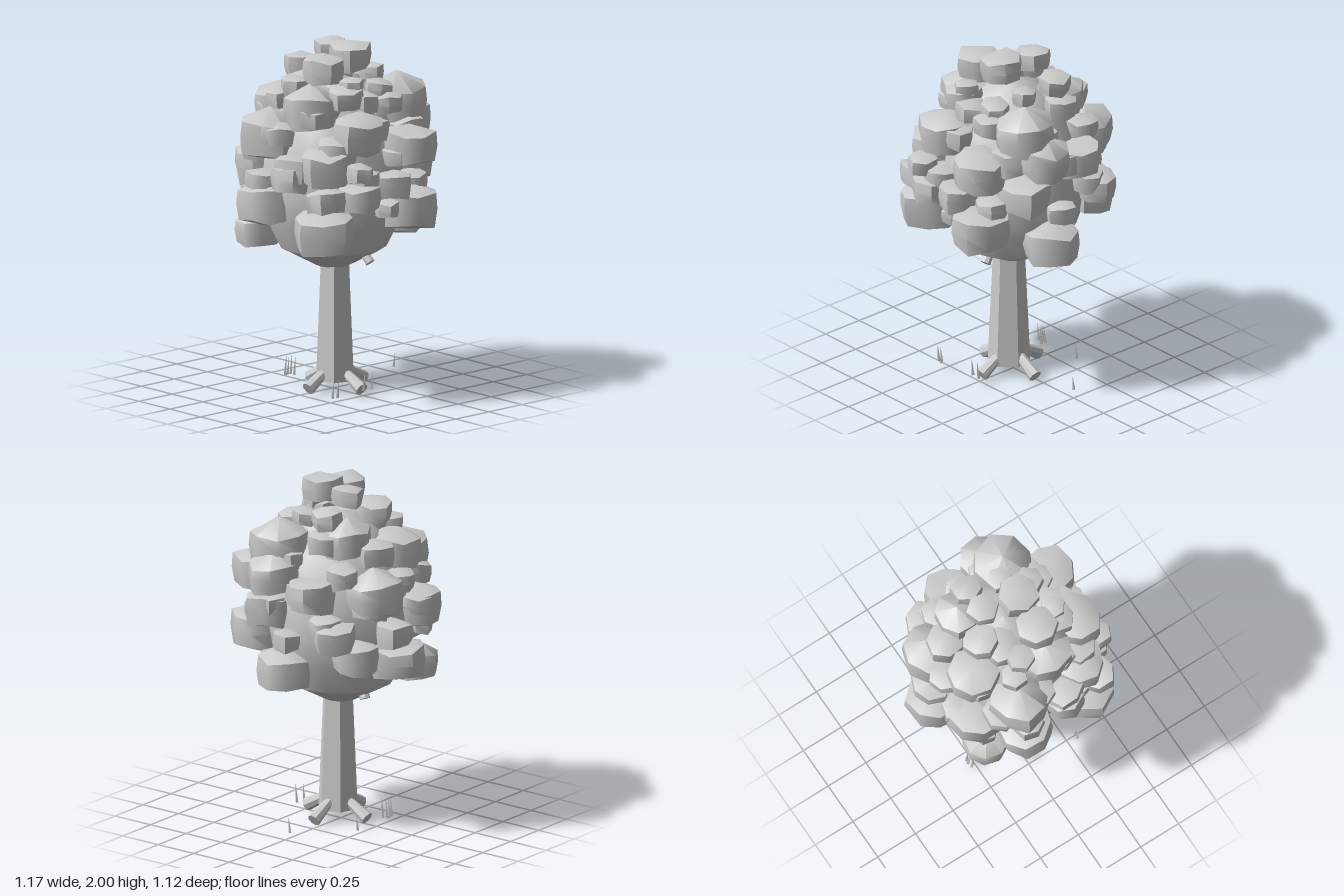
import * as THREE from 'three';
import { toCreasedNormals } from 'three/addons/utils/BufferGeometryUtils.js';

const grey = new THREE.MeshStandardMaterial({ color: 0xcccccc, side: THREE.DoubleSide });

function add(group, geometry, name, crease) {
  const mesh = new THREE.Mesh(toCreasedNormals(geometry.toNonIndexed(), crease), grey);
  mesh.name = name;
  group.add(mesh);
  return mesh;
}

function addGroup(parent, name) {
  const group = new THREE.Group();
  group.name = name;
  parent.add(group);
  return group;
}

// Repeatable wobble in -1..1
const wobble = (a, b) => {
  const s = Math.sin(a * 12.9898 + b * 78.233) * 43758.5453;
  return (s - Math.floor(s)) * 2 - 1;
};

// Tapered rod between two points
function rod(group, from, to, r0, r1, sides, name) {
  const a = new THREE.Vector3(...from), b = new THREE.Vector3(...to);
  const dir = b.clone().sub(a);
  const mesh = add(group, new THREE.CylinderGeometry(r1, r0, dir.length(), sides), name, 0.5);
  mesh.position.copy(a).add(b).multiplyScalar(0.5);
  mesh.quaternion.setFromUnitVectors(new THREE.Vector3(0, 1, 0), dir.normalize());
}

// Squat, uneven drum with a domed top and shallow underside
function leafClump(group, x, y, z, r, seed) {
  const h = r * 1.1;
  const large = r > 0.12;
  const sides = large ? 8 : r > 0.09 ? 7 : 6;
  const dome = large ? 0.78 + 0.2 * wobble(seed, 1) : 0.72;
  const profile = [[0, large ? -0.72 : -0.6], [0.92, -0.52], [1.02, 0], [0.98, 0.44], [0, dome]]
    .map(([px, py]) => new THREE.Vector2(px * r, py * h));
  const geo = new THREE.LatheGeometry(profile, sides);
  const p = geo.attributes.position;
  for (let i = 0; i < p.count; i++) {
    const row = i % profile.length;
    const column = Math.floor(i / profile.length) % sides;
    if (row === 0 || row === profile.length - 1) continue;
    const k = 1 + 0.07 * wobble(seed, column);
    const lift = row === 2 ? 0 : 0.12 * h * wobble(seed + row, column + 9);
    p.setXYZ(i, p.getX(i) * k, p.getY(i) + lift, p.getZ(i) * k);
  }
  const mesh = add(group, geo, 'leafClump', 0.95);
  mesh.position.set(x, y, z);
  mesh.rotation.set(0.07 * wobble(seed, 3), seed * 1.3, 0.07 * wobble(seed, 5));
}

// Main leaf clumps: x, y, z, radius
const mainClumps = [
  // front
  [-0.13, 1.48, 0.36, 0.17], [-0.12, 1.1, 0.4, 0.16], [0.31, 1.0, 0.35, 0.17],
  [-0.33, 1.26, 0.22, 0.165], [-0.31, 0.9, 0.28, 0.13], [0.1, 1.65, 0.25, 0.155],
  [0.37, 1.54, 0.15, 0.15], [0.29, 1.36, 0.32, 0.14], [0.12, 1.28, 0.43, 0.11],
  [0.37, 1.19, 0.38, 0.1], [-0.29, 1.6, 0.13, 0.14], [-0.05, 1.75, 0.24, 0.08],
  // left and right
  [-0.43, 1.03, -0.04, 0.16], [-0.37, 1.42, -0.17, 0.16], [0.42, 1.43, -0.19, 0.15],
  [0.41, 1.08, -0.19, 0.165], [0.42, 1.19, 0.2, 0.12], [0.45, 1.23, -0.04, 0.11],
  [0.47, 1.34, 0.23, 0.08], [0.28, 1.68, 0.03, 0.09],
  // back
  [0.19, 1.63, -0.31, 0.165], [-0.11, 1.42, -0.4, 0.14], [-0.26, 1.2, -0.39, 0.12],
  [0.15, 1.5, -0.42, 0.14], [0.22, 1.28, -0.34, 0.15], [0.08, 0.95, -0.41, 0.15],
  [-0.33, 1.08, -0.28, 0.13],
  // top
  [-0.19, 1.7, -0.18, 0.13], [-0.19, 1.82, 0.06, 0.1], [-0.1, 1.91, -0.07, 0.09],
  [0.11, 1.91, -0.03, 0.114], [0.1, 1.86, 0.17, 0.12], [-0.09, 1.82, -0.24, 0.09],
  [0.1, 1.79, -0.2, 0.07], [0.26, 1.78, 0.1, 0.07], [-0.1, 1.74, 0.12, 0.1], [0.25, 1.73, -0.12, 0.08],
];

export function createModel() {
  const tree = new THREE.Group();
  tree.name = 'tree';

  // Tapered hexagonal trunk
  const trunk = add(tree, new THREE.CylinderGeometry(0.085, 0.118, 0.75, 6), 'trunk', 0.3);
  trunk.position.set(0.025, 0.435, 0.008);
  trunk.rotation.y = Math.PI / 4;

  // Roots spreading from the foot
  const roots = addGroup(tree, 'roots');
  for (let i = 0; i < 4; i++) {
    const a = i * Math.PI / 2, x = Math.cos(a), z = Math.sin(a);
    rod(roots, [0.02 + x * 0.06, 0.12, z * 0.06], [0.025 + x * 0.21, 0.033, z * 0.21], 0.025, 0.038, 8, 'root');
  }

  // Stub branches poking out below the crown
  const branches = addGroup(tree, 'branches');
  for (const s of [-1, 1]) {
    rod(branches, [s * 0.16, 0.86, -0.03], [s * 0.23 + 0.02, 0.75, -0.05], 0.02, 0.03, 8, 'stubBranch');
  }

  // Egg-shaped inner crown
  const outline = [[0, 0.7], [0.1, 0.71], [0.3, 0.82], [0.38, 0.98], [0.41, 1.15], [0.39, 1.36],
    [0.31, 1.58], [0.19, 1.73], [0, 1.8]].map(([x, y]) => new THREE.Vector2(x, y));
  add(tree, new THREE.LatheGeometry(outline, 14), 'innerCrown', 0.6);

  // Large overlapping clumps
  const foliage = addGroup(tree, 'foliage');
  mainClumps.forEach(([x, y, z, r], i) => leafClump(foliage, x, y, z, r, i + 1));

  // Small clumps spiralling up the crown to fill the gaps
  const fillers = 30;
  for (let i = 0; i < fillers; i++) {
    const y = 1.1 + 0.62 * i / (fillers - 1);
    const reach = 0.44 * Math.sqrt(1 - ((y - 1.15) / 0.75) ** 2);
    const angle = i * 2.4;
    leafClump(foliage, Math.cos(angle) * reach, y, Math.sin(angle) * reach, 0.092 + 0.022 * wobble(i, 2), i + 50);
  }

  // Thin grass blades in small tufts: x, z, blade count
  const grass = addGroup(tree, 'grass');
  for (const [x, z, count] of [[-0.27, 0.08, 4], [-0.28, -0.21, 1], [0, -0.45, 1], [0.29, 0.27, 2], [0.28, 0, 2]]) {
    for (let i = 0; i < count; i++) {
      const bx = x + 0.02 * wobble(i, x), bz = z + 0.03 * wobble(i, z);
      const height = 0.1 + 0.015 * wobble(i, x + z);
      rod(grass, [bx, 0.04, bz], [bx + 0.01, 0.04 + height, bz], 0.01, 0.001, 4, 'grassBlade');
    }
  }

  return tree;
}
